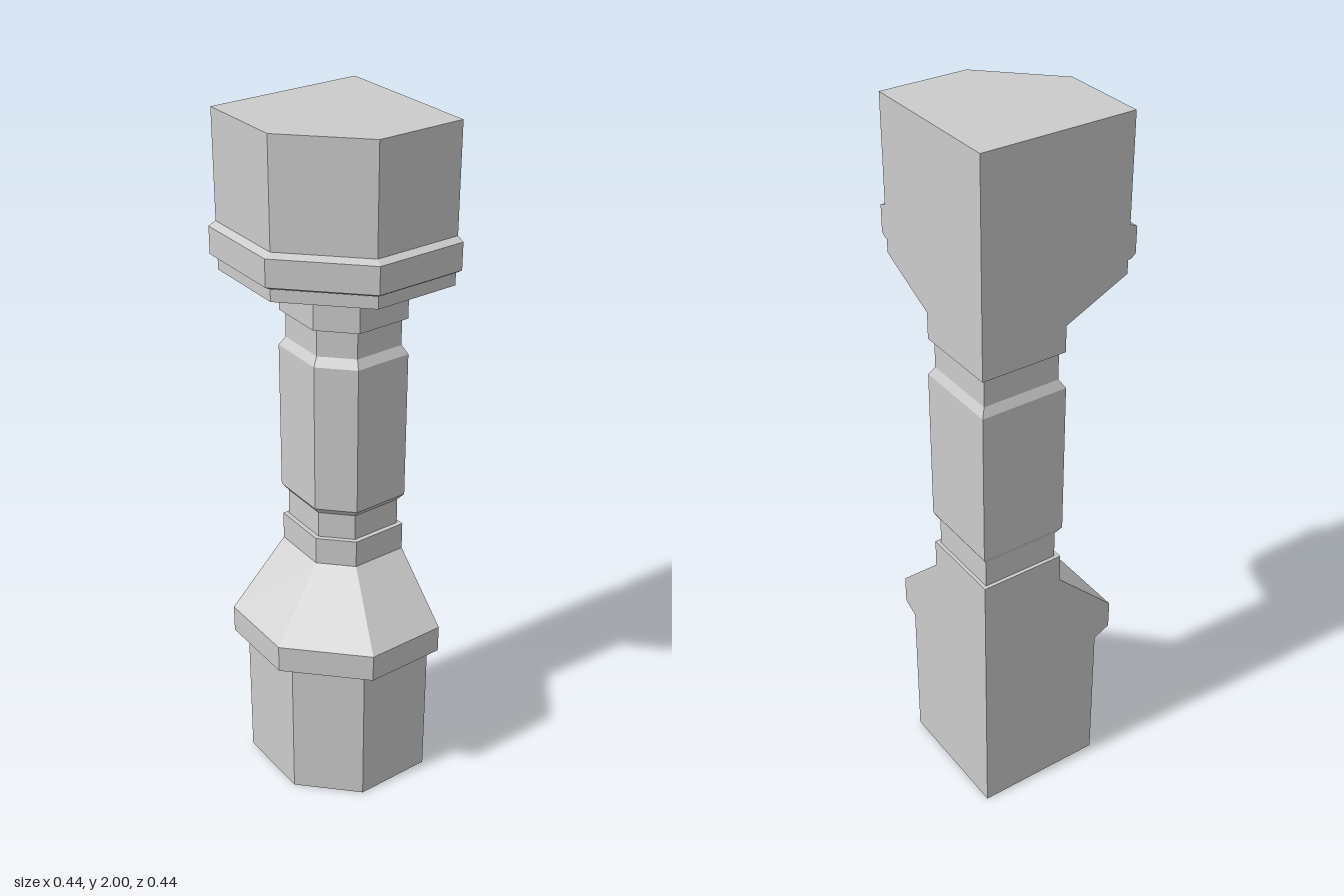
import * as THREE from 'three';

const material = new THREE.MeshStandardMaterial({ color: 0xcccccc, flatShading: true });

// Square section with its front-left corner cut off.
// f: front and left faces, c: where the cut starts, b: back and right faces
const section = ([y, f, c, b = -0.22]) => [
  [b, y, b], [b, y, f], [c, y, f], [f, y, c], [f, y, b],
];

// Closed, flat-shaded solid through a stack of sections listed bottom to top
function loft(name, levels) {
  const rings = levels.map(section);
  const points = [];
  const tri = (...corners) => corners.forEach((p) => points.push(...p));
  for (let i = 0; i < rings.length - 1; i++) {
    const lo = rings[i], hi = rings[i + 1];
    for (let j = 0; j < 5; j++) {
      const k = (j + 1) % 5;
      tri(lo[j], lo[k], hi[k]);
      tri(lo[j], hi[k], hi[j]);
    }
  }
  const bottom = rings[0], top = rings[rings.length - 1];
  for (let j = 1; j < 4; j++) {
    tri(bottom[0], bottom[j + 1], bottom[j]);
    tri(top[0], top[j], top[j + 1]);
  }
  const geometry = new THREE.BufferGeometry();
  geometry.setAttribute('position', new THREE.Float32BufferAttribute(points, 3));
  geometry.computeVertexNormals();
  const mesh = new THREE.Mesh(geometry, material);
  mesh.name = name;
  return mesh;
}

export function createModel() {
  const model = new THREE.Group();
  model.name = 'cornerPillar';
  model.add(
    // Plinth with its overhanging moulding and sloped shoulder
    loft('base', [
      [0, 0.15, 0.005], [0.437, 0.15, 0.005], [0.46, 0.197, 0.01],
      [0.542, 0.197, 0.01], [0.715, 0.02, -0.06], [0.797, 0.02, -0.06],
    ]),
    // Shaft between two recessed necks
    loft('shaft', [
      [0.797, 0.007, -0.065, -0.21], [0.875, 0.007, -0.065, -0.21],
      [0.895, 0.022, -0.06, -0.222], [1.328, 0.022, -0.06, -0.222],
      [1.352, 0.007, -0.068, -0.21], [1.43, 0.007, -0.068, -0.21],
    ]),
    // Flaring capital carrying a square-edged band and the top block
    loft('capital', [
      [1.43, 0.02, -0.065], [1.503, 0.02, -0.065],
      [1.588, 0.198, 0.015], [1.625, 0.198, 0.015],
    ]),
    loft('capitalBand', [
      [1.625, 0.205, 0.02], [1.635, 0.22, 0.028],
      [1.708, 0.22, 0.028], [1.717, 0.2, 0.02],
    ]),
    loft('topBlock', [[1.717, 0.199, 0.02], [2, 0.199, 0.02]]),
  );
  return model;
}
